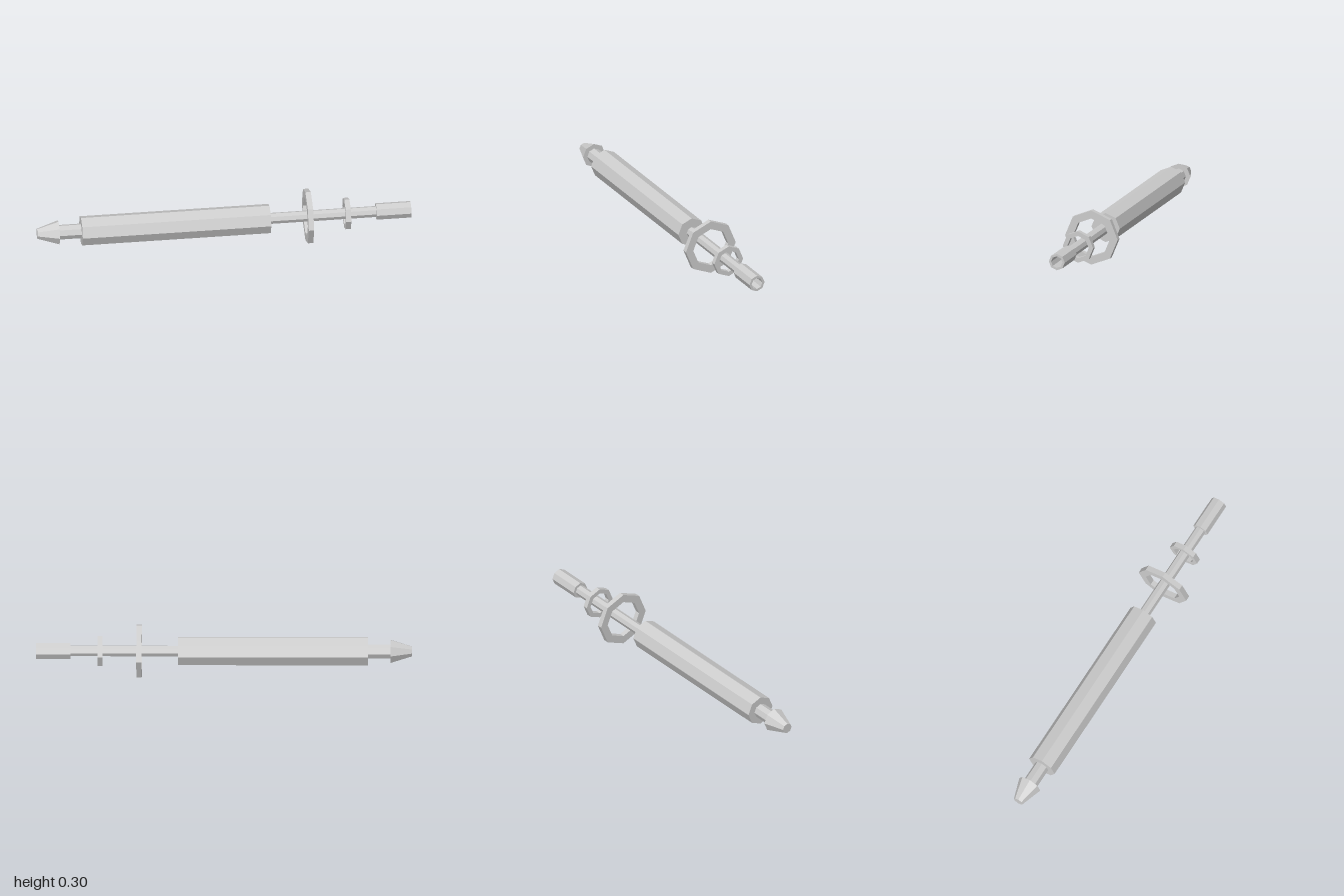
import * as THREE from 'three';

const SIDES = 8;
const AXIS_Y = 0.149;

export function createModel() {
  const model = new THREE.Group();
  const material = new THREE.MeshStandardMaterial({ color: 0xcccccc, flatShading: true });

  // Turns a [radius, x] profile around the long axis; outer walls run towards +x.
  function turned(name, profile) {
    const points = profile.map(([r, x]) => new THREE.Vector2(r, x));
    const geometry = new THREE.LatheGeometry(points, SIDES);
    geometry.rotateZ(-Math.PI / 2);
    const mesh = new THREE.Mesh(geometry, material);
    mesh.name = name;
    mesh.position.y = AXIS_Y;
    model.add(mesh);
  }

  // Solid bar, optionally tapered
  const bar = (name, x0, x1, r0, r1 = r0) =>
    turned(name, [[0, x0], [r0, x0], [r1, x1], [0, x1]]);

  // Flat open ring
  const ring = (name, x0, x1, outer, inner) =>
    turned(name, [[inner, x0], [outer, x0], [outer, x1], [inner, x1], [inner, x0]]);

  // Grip with neck and tapered pommel
  bar('pommel', -1, -0.885, 0.028, 0.066);
  bar('neck', -0.885, -0.765, 0.04);
  bar('grip', -0.765, 0.245, 0.08);

  // Slim shaft carrying two free-standing rings
  bar('shaft', 0.245, 0.82, 0.03);
  ring('largeRing', 0.437, 0.466, 0.149, 0.105);
  ring('smallRing', 0.645, 0.673, 0.086, 0.061);

  // Hollow muzzle
  turned('muzzle', [
    [0, 0.815], [0.045, 0.815], [0.045, 1], [0.032, 1], [0.032, 0.822], [0, 0.822],
  ]);

  return model;
}
